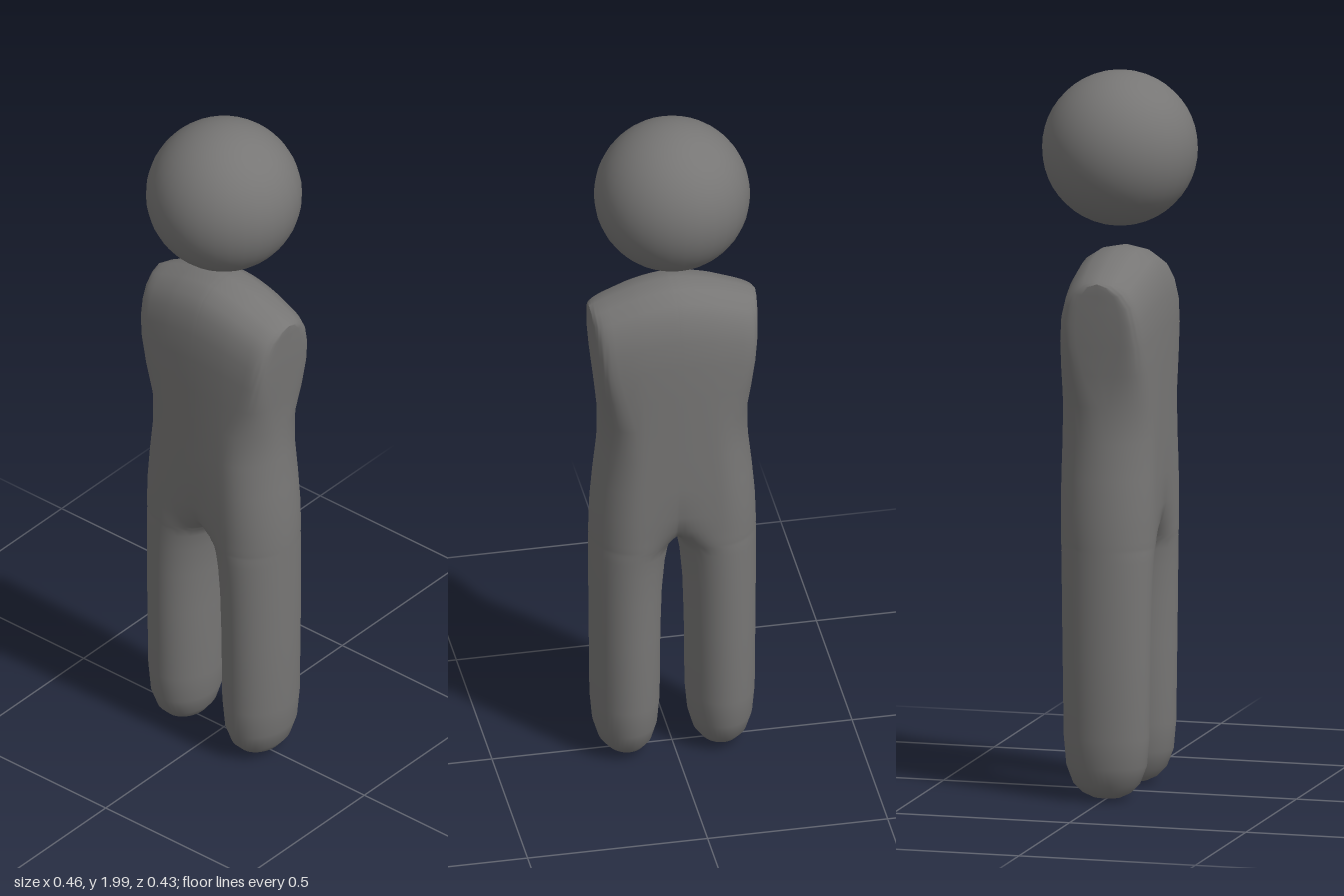
import * as THREE from 'three';
import { toCreasedNormals, mergeGeometries } from 'three/addons/utils/BufferGeometryUtils.js';

const material = new THREE.MeshStandardMaterial({ color: 0x777675 });
const { smoothstep } = THREE.MathUtils;

// Half-body sections: height, outer x, inner x, half depth, fill between the legs
const sections = [
  [0.006, 0.131, 0.129, 0.002, 0],
  [0.011, 0.16, 0.1, 0.04, 0],
  [0.025, 0.185, 0.076, 0.069, 0],
  [0.05, 0.205, 0.058, 0.093, 0],
  [0.1, 0.22, 0.044, 0.112, 0],
  [0.18, 0.227, 0.037, 0.119, 0],
  [0.4, 0.229, 0.035, 0.122, 0],
  [0.53, 0.23, 0.031, 0.124, 0],
  [0.62, 0.23, 0.023, 0.126, 0],
  [0.67, 0.23, 0.014, 0.128, 0],
  [0.692, 0.23, 0.007, 0.129, 0],
  [0.7, 0.23, 0, 0.129, 0],
  [0.71, 0.23, 0, 0.13, 0.42],
  [0.73, 0.23, 0, 0.13, 0.7],
  [0.76, 0.229, 0, 0.131, 0.88],
  [0.81, 0.227, 0, 0.132, 0.98],
  [0.9, 0.219, 0, 0.133, 1],
  [1.0, 0.208, 0, 0.133, 1],
  [1.1, 0.205, 0, 0.133, 1],
  [1.2, 0.211, 0, 0.133, 1],
  [1.3, 0.218, 0, 0.132, 1],
  [1.38, 0.223, 0, 0.127, 1],
  [1.44, 0.226, 0, 0.113, 1],
  [1.48, 0.228, 0, 0.09, 1],
  [1.505, 0.23, 0, 0.052, 1],
  [1.515, 0.231, 0, 0, 1],
];

// One half of the body, lofted upward; side is +1 (left) or -1 (right)
function bodyHalf(side) {
  const steps = 40;
  const positions = [];
  const indices = [];
  for (const [y, outer, inner, depth, fill] of sections) {
    const centre = (outer + inner) / 2;
    const radius = (outer - inner) / 2;
    const power = 2 / (2 + 5 * smoothstep(y, 1.05, 1.4)); // boxier toward the shoulders
    const taper = 0.13 * smoothstep(y, 0.75, 1.2); // chest thins toward the sides
    for (let j = 0; j <= steps; j++) {
      const angle = -Math.PI + (2 * Math.PI * j) / steps;
      const c = Math.cos(angle);
      const s = Math.abs(Math.sin(angle));
      const front = j < steps / 2 ? -1 : 1;
      const isOuter = c > 0;
      const x = centre + radius * (isOuter ? Math.pow(c, power) : c);
      const bulge = isOuter ? Math.pow(s, power) : Math.hypot(s, c * fill);
      const z = front * depth * bulge * (1 - taper * (x / 0.21) ** 2);
      // Shoulders slope down from the neck
      const drop = 0.065 * Math.pow(Math.max(x, 0) / 0.23, 1.7) * smoothstep(y, 1.1, 1.5);
      positions.push(side * x, y - drop, z);
    }
  }
  const w = steps + 1;
  for (let i = 0; i < sections.length - 1; i++) {
    for (let j = 0; j < steps; j++) {
      const a = i * w + j;
      if (side > 0) indices.push(a, a + w, a + 1, a + 1, a + w, a + w + 1);
      else indices.push(a, a + 1, a + w, a + 1, a + w + 1, a + w);
    }
  }
  const geometry = new THREE.BufferGeometry();
  geometry.setAttribute('position', new THREE.Float32BufferAttribute(positions, 3));
  geometry.setIndex(indices);
  return geometry;
}

export function createModel() {
  const model = new THREE.Group();
  model.name = 'figure';

  // Floating round head
  const head = new THREE.Mesh(new THREE.SphereGeometry(0.213, 32, 24), material);
  head.name = 'head';
  head.position.y = 1.787;
  model.add(head);

  // Torso and legs in one skin
  const skin = mergeGeometries([bodyHalf(1), bodyHalf(-1)]);
  const body = new THREE.Mesh(toCreasedNormals(skin, 1.2), material);
  body.name = 'torsoAndLegs';
  model.add(body);

  return model;
}
